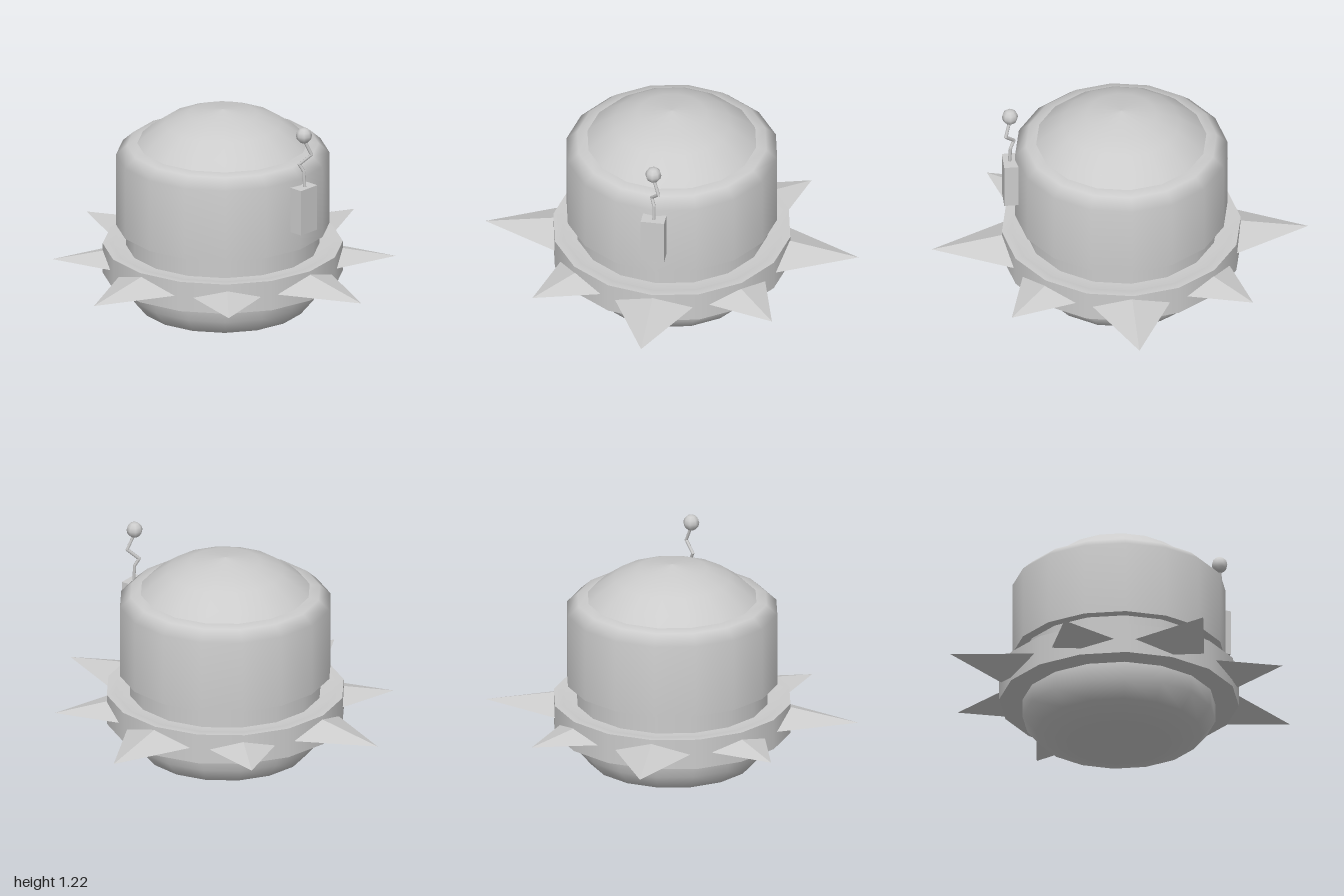
import * as THREE from 'three';

const SIDES = 16;
const smooth = new THREE.MeshStandardMaterial({ color: 0xcccccc });
const flat = new THREE.MeshStandardMaterial({ color: 0xcccccc, flatShading: true });

function add(parent, name, geometry, material = smooth) {
  const mesh = new THREE.Mesh(geometry, material);
  mesh.name = name;
  parent.add(mesh);
  return mesh;
}

// Turned part from [radius, y] pairs; a repeated pair makes a sharp edge
function turned(profile) {
  return new THREE.LatheGeometry(profile.map(([r, y]) => new THREE.Vector2(r, y)), SIDES);
}

// Flattened four-sided pyramid pointing to +z
function spikeGeometry(halfWidth, halfHeight, inner, tip) {
  const g = new THREE.ConeGeometry(1, tip - inner, 4);
  g.rotateX(Math.PI / 2);
  g.scale(halfWidth, halfHeight, 1);
  g.translate(0, 0, (inner + tip) / 2);
  return g;
}

// Straight rod between two points
function rodGeometry(a, b, radius) {
  const dir = b.clone().sub(a);
  const g = new THREE.CylinderGeometry(radius, radius, dir.length() + radius, 6);
  g.applyQuaternion(new THREE.Quaternion().setFromUnitVectors(new THREE.Vector3(0, 1, 0), dir.normalize()));
  const mid = a.clone().add(b).multiplyScalar(0.5);
  return g.translate(mid.x, mid.y, mid.z);
}

export function createModel() {
  const model = new THREE.Group();
  model.name = 'spikedCapsule';

  // Round body parts, all on one axis
  const body = new THREE.Group();
  body.name = 'body';
  body.position.set(-0.002, 0, -0.01);
  model.add(body);

  add(body, 'lowerHull', turned([
    [0, 0.005], [0.28, 0.028], [0.44, 0.08], [0.51, 0.165], [0.51, 0.26], [0.51, 0.26], [0.51, 0.54],
  ]));
  add(body, 'upperHull', turned([
    [0.5, 0.53], [0.563, 0.53], [0.563, 0.53], [0.563, 0.54], [0.563, 0.925], [0.505, 0.978], [0.44, 0.99], [0, 0.99],
  ]));
  add(body, 'dome', turned([
    [0.47, 0.97], [0.4, 1.036], [0.31, 1.1], [0.185, 1.15], [0, 1.175],
  ]));
  add(body, 'collarRing', turned([
    [0.5, 0.26], [0.633, 0.26], [0.633, 0.26], [0.633, 0.425], [0.633, 0.425],
    [0.585, 0.425], [0.57, 0.415], [0.5, 0.415],
  ]));

  // Eight spikes, long ones on the axes and short ones between
  const spikes = new THREE.Group();
  spikes.name = 'spikes';
  spikes.position.set(0, 0.34, -0.003);
  model.add(spikes);
  const longSpike = spikeGeometry(0.21, 0.074, 0.58, 0.997);
  const shortSpike = spikeGeometry(0.19, 0.056, 0.575, 0.905);
  for (let i = 0; i < 8; i++) {
    const isLong = i % 2 === 0;
    const spike = add(spikes, isLong ? 'longSpike' : 'shortSpike', isLong ? longSpike : shortSpike, flat);
    spike.rotation.y = i * Math.PI / 4;
  }

  // Antenna: box on the front, bent rod and ball
  const antenna = new THREE.Group();
  antenna.name = 'antenna';
  model.add(antenna);
  add(antenna, 'antennaBox', new THREE.BoxGeometry(0.125, 0.25, 0.085).translate(-0.002, 0.767, 0.574), flat);
  const path = [
    [0, 0.88, 0.583], [0, 0.975, 0.577], [-0.015, 1.015, 0.558], [0.028, 1.07, 0.605], [0, 1.15, 0.582],
  ].map((p) => new THREE.Vector3(...p));
  for (let i = 0; i < path.length - 1; i++) {
    add(antenna, 'antennaRod', rodGeometry(path[i], path[i + 1], 0.009));
  }
  add(antenna, 'antennaBall', new THREE.SphereGeometry(0.043, 8, 6).translate(-0.003, 1.18, 0.58));

  return model;
}
